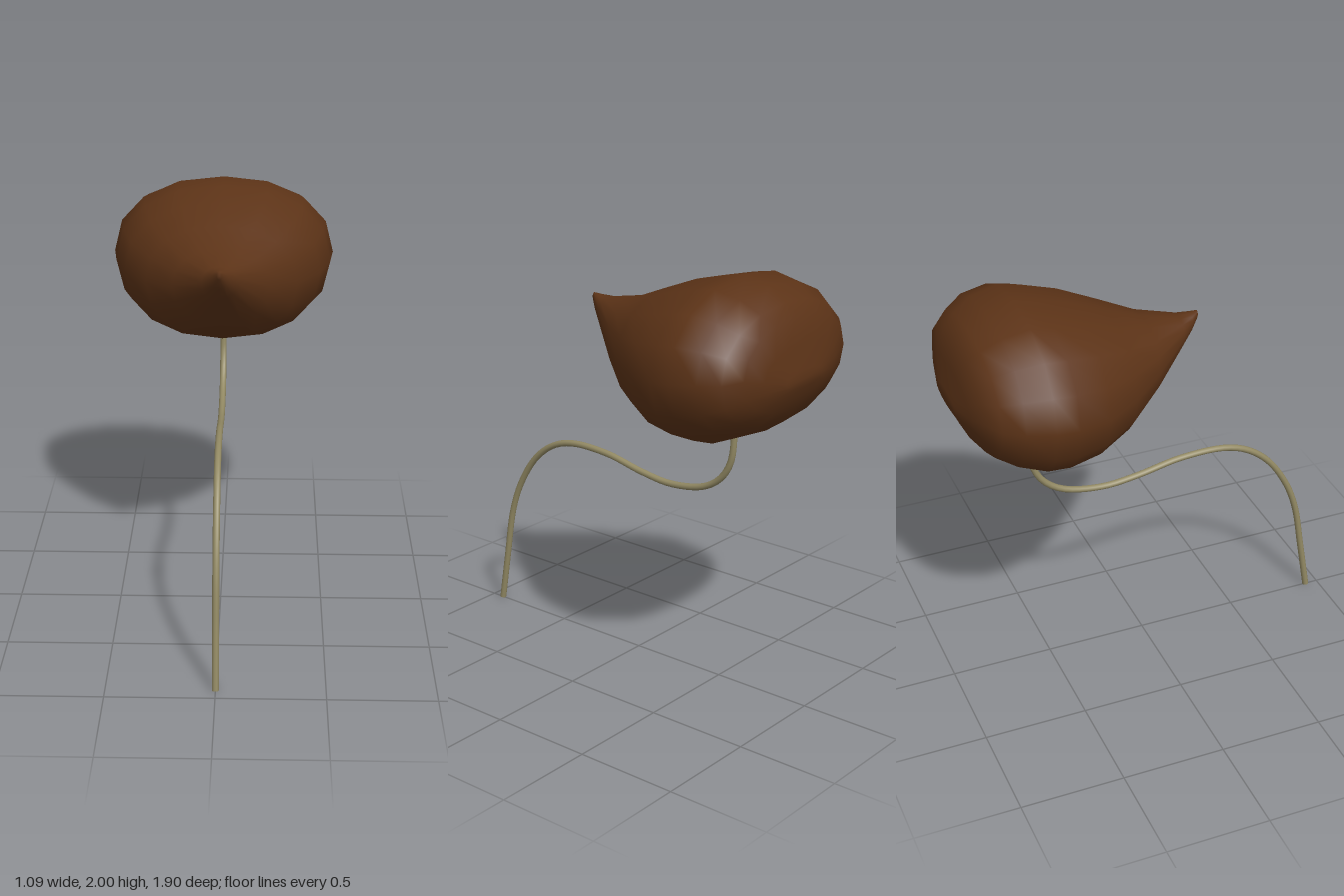
import * as THREE from 'three';
import { mergeVertices } from 'three/addons/utils/BufferGeometryUtils.js';

// Cross-sections of the pod from pointed tip to blunt back: [z, bottom y, top y, half width]
const SECTIONS = [
  [0.28, 1.755, 1.755, 0],
  [0.275, 1.735, 1.773, 0.012],
  [0.24, 1.68, 1.77, 0.04],
  [0.18, 1.615, 1.768, 0.085],
  [0, 1.44, 1.8, 0.23],
  [-0.17, 1.31, 1.87, 0.365],
  [-0.34, 1.25, 1.937, 0.478],
  [-0.5, 1.23, 1.98, 0.53],
  [-0.61, 1.243, 2.0, 0.545],
  [-0.74, 1.3, 1.97, 0.52],
  [-0.83, 1.36, 1.91, 0.46],
  [-0.89, 1.435, 1.86, 0.38],
  [-0.92, 1.5, 1.74, 0.27],
  [-0.945, 1.55, 1.63, 0.14],
  [-0.948, 1.59, 1.59, 0],
];

function loft(sections, sides) {
  const pos = [], index = [];
  const bulge = (v) => Math.sign(v) * Math.pow(Math.abs(v), 0.92); // slightly squared ellipse
  for (const [z, bottom, top, half] of sections) {
    const mid = (bottom + top) / 2, h = (top - bottom) / 2;
    for (let j = 0; j < sides; j++) {
      const a = (j / sides) * Math.PI * 2;
      pos.push(half * bulge(Math.cos(a)), mid + h * bulge(Math.sin(a)), z);
    }
  }
  for (let i = 0; i < sections.length - 1; i++) {
    for (let j = 0; j < sides; j++) {
      const k = (j + 1) % sides, a = i * sides, b = a + sides;
      if (i > 0) index.push(a + j, b + j, a + k);
      if (i < sections.length - 2) index.push(a + k, b + j, b + k);
      else continue;
    }
  }
  const g = new THREE.BufferGeometry();
  g.setAttribute('position', new THREE.Float32BufferAttribute(pos, 3));
  g.setIndex(index);
  const merged = mergeVertices(g, 1e-5); // joins the tip and back points
  merged.computeVertexNormals();
  return merged;
}

export function createModel() {
  const model = new THREE.Group();
  const podMaterial = new THREE.MeshStandardMaterial({ color: 0x5c3317 });
  const stemMaterial = new THREE.MeshStandardMaterial({ color: 0x938a64 });

  // Pointed pod
  const pod = new THREE.Mesh(loft(SECTIONS, 16), podMaterial);
  pod.name = 'pod';
  model.add(pod);

  // Curved stem, [z, y] from the ground up into the pod
  const path = [
    [0.935, 0.003], [0.89, 0.27], [0.845, 0.52], [0.785, 0.68], [0.68, 0.84], [0.56, 0.935],
    [0.43, 0.977], [0.2, 0.975], [-0.02, 0.932], [-0.2, 0.914], [-0.4, 0.95],
    [-0.5, 1.02], [-0.55, 1.11], [-0.565, 1.23], [-0.565, 1.3],
  ].map(([z, y]) => new THREE.Vector3(0, y, z));
  const curve = new THREE.CatmullRomCurve3(path);
  const radius = 0.016;
  const stem = new THREE.Group();
  stem.name = 'stem';
  const tube = new THREE.Mesh(new THREE.TubeGeometry(curve, 64, radius, 10), stemMaterial);
  tube.name = 'stemTube';
  stem.add(tube);

  // Flat cut at the foot of the stem
  const cut = new THREE.Mesh(new THREE.CircleGeometry(radius, 10), stemMaterial);
  cut.name = 'stemCut';
  cut.position.copy(path[0]);
  cut.quaternion.setFromUnitVectors(new THREE.Vector3(0, 0, 1), curve.getTangentAt(0).negate());
  stem.add(cut);
  model.add(stem);
  return model;
}
